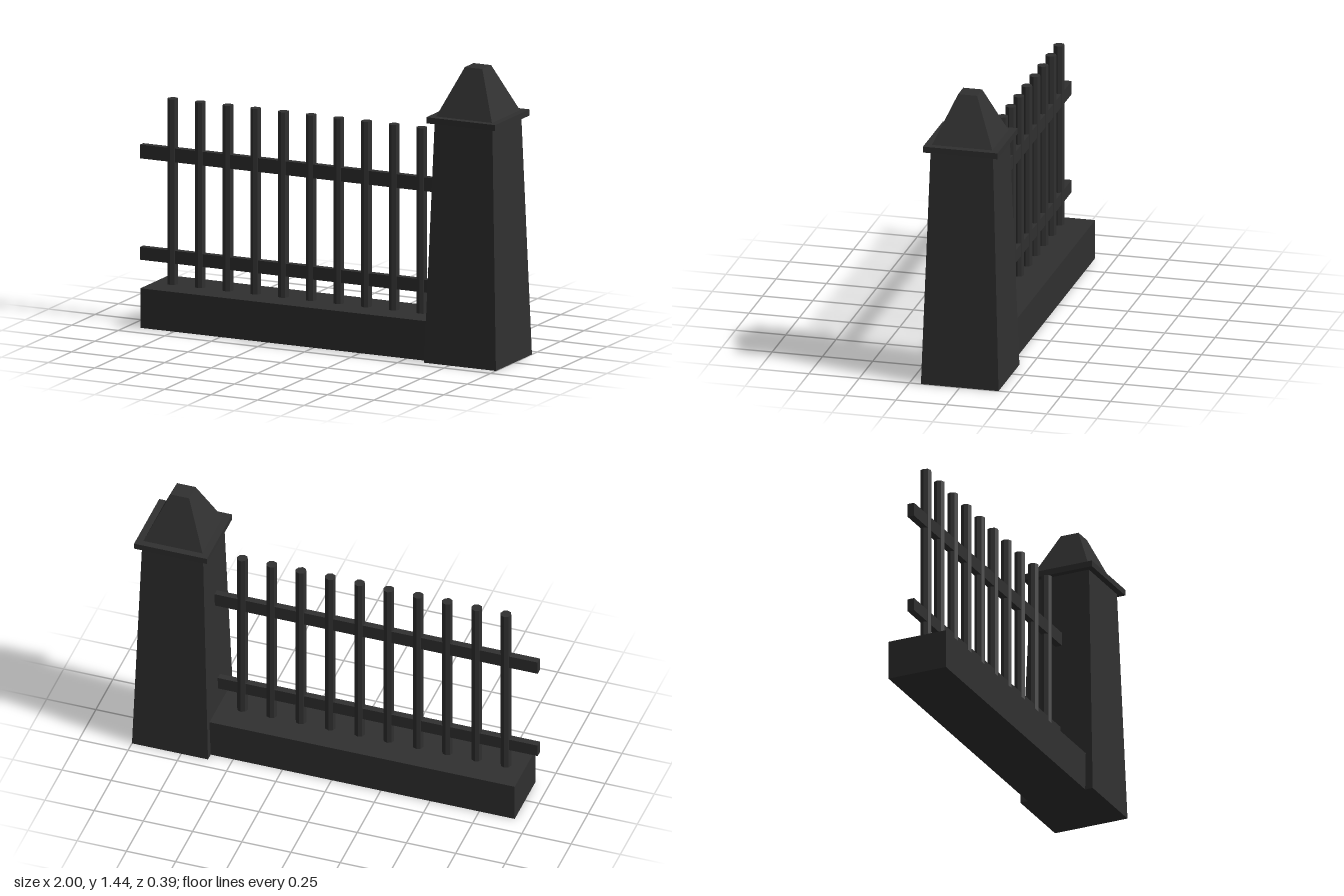
import * as THREE from 'three';

export function createModel() {
  const group = new THREE.Group();
  const iron = new THREE.MeshStandardMaterial({ color: 0x303030, flatShading: true });
  iron.name = 'dark iron';

  const add = (name, geometry, x, y, z = 0) => {
    const mesh = new THREE.Mesh(geometry, iron);
    mesh.name = name;
    mesh.position.set(x, y, z);
    group.add(mesh);
  };

  // Box given by its x and y limits and its depth
  const box = (name, x0, x1, y0, y1, depth) =>
    add(name, new THREE.BoxGeometry(x1 - x0, y1 - y0, depth), (x0 + x1) / 2, (y0 + y1) / 2);

  // Square tapered block given by its half widths
  const taper = (name, x, y0, y1, bottom, top) => {
    const g = new THREE.CylinderGeometry(top * Math.SQRT2, bottom * Math.SQRT2, y1 - y0, 4);
    g.rotateY(Math.PI / 4);
    add(name, g, x, (y0 + y1) / 2);
  };

  // Pillar: shaft, ledge and cut-off pyramid cap
  const pillarX = 0.807;
  taper('pillarShaft', pillarX, 0, 1.18, 0.193, 0.155);
  box('pillarLedge', pillarX - 0.185, pillarX + 0.185, 1.18, 1.21, 0.37);
  taper('pillarCap', pillarX, 1.21, 1.443, 0.15, 0.047);

  // Low wall and rails, both running into the pillar
  box('baseWall', -0.93, 0.66, 0, 0.195, 0.306);
  box('lowerRail', -1, 0.7, 0.3, 0.363, 0.034);
  box('upperRail', -1, 0.7, 0.8, 0.868, 0.034);

  // Upright bars
  const barGeometry = new THREE.CylinderGeometry(0.027, 0.027, 0.93, 8);
  for (let i = 0; i < 10; i++) add('bar' + (i + 1), barGeometry, -0.833 + i * 0.1487, 0.645);

  return group;
}
